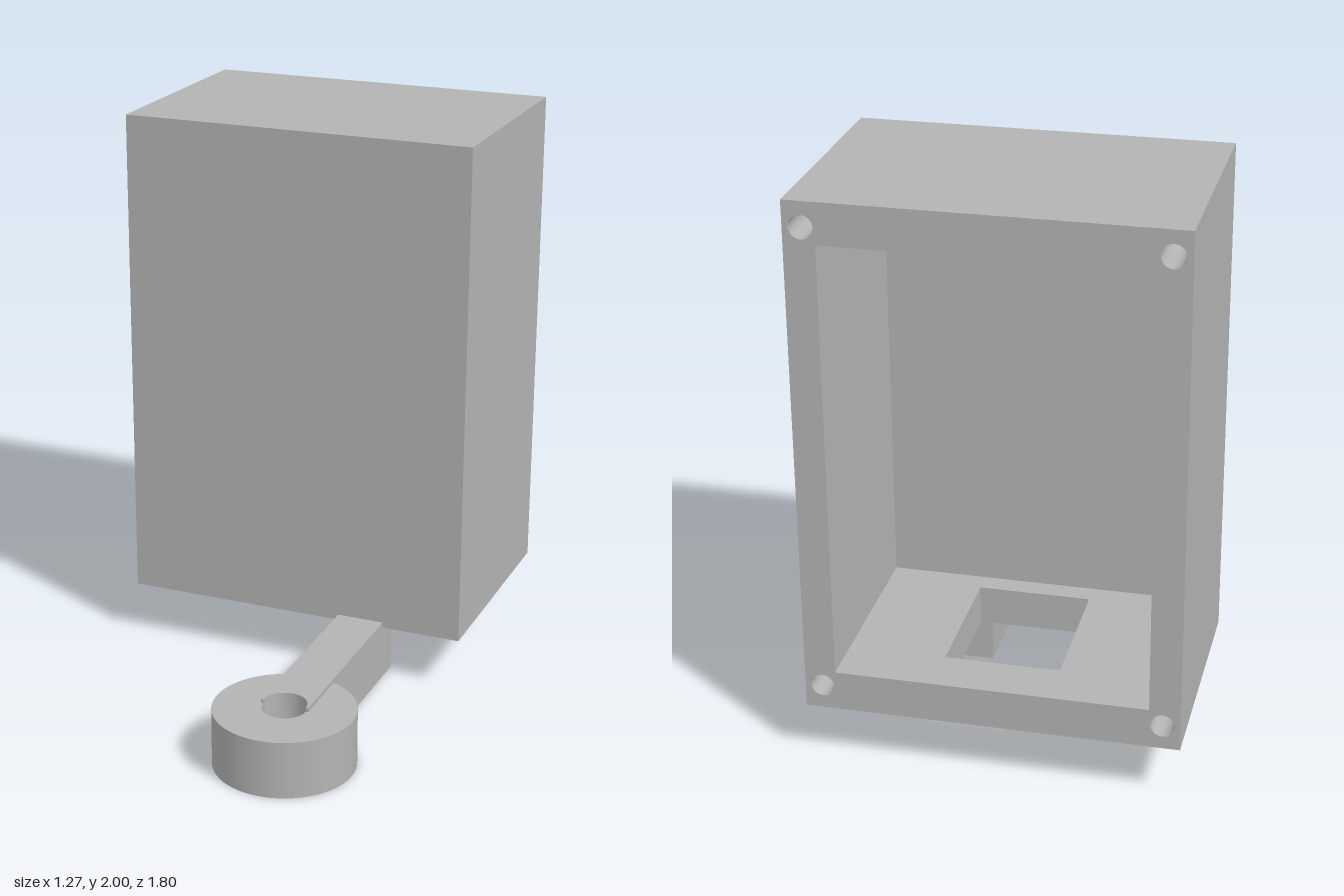
import * as THREE from 'three';
import { mergeGeometries } from 'three/addons/utils/BufferGeometryUtils.js';

// Case extents, cavity extents and floor window
const W = 0.637, Y0 = 0.2, Y1 = 2, ZB = -0.9, ZF = -0.055;
const CW = 0.532, CY0 = 0.34, CY1 = 1.86, CZ = -0.16;
const HW = 0.198, HZ0 = -0.725, HZ1 = -0.237;
const YM = (Y0 + Y1) / 2, ZM = (ZB + ZF) / 2, CZM = (ZB + CZ) / 2, HZM = (HZ0 + HZ1) / 2;
const H = Math.PI / 2;

function rectPath(Type, w, h, cx = 0, cy = 0) {
  const p = new Type();
  p.moveTo(cx - w / 2, cy - h / 2);
  p.lineTo(cx + w / 2, cy - h / 2);
  p.lineTo(cx + w / 2, cy + h / 2);
  p.lineTo(cx - w / 2, cy + h / 2);
  p.closePath();
  return p;
}

function circlePath(Type, r, cx, cy) {
  const p = new Type();
  p.absarc(cx, cy, r, 0, Math.PI * 2, false);
  return p;
}

// One flat wall, facing +z before it is turned
function panel(w, h, pos, rx = 0, ry = 0, holes = []) {
  const shape = rectPath(THREE.Shape, w, h);
  shape.holes.push(...holes);
  return new THREE.ShapeGeometry(shape, 24).rotateX(rx).rotateY(ry).translate(...pos);
}

export function createModel() {
  const grey = new THREE.MeshStandardMaterial({ color: 0xb3b3b3 });
  grey.name = 'grey';
  const greyInside = grey.clone();
  greyInside.name = 'grey';
  greyInside.side = THREE.DoubleSide;

  const group = new THREE.Group();
  const add = (name, geometry, material = grey) => {
    const mesh = new THREE.Mesh(geometry, material);
    mesh.name = name;
    group.add(mesh);
    return mesh;
  };

  // Outer case walls
  const depth = ZF - ZB, height = Y1 - Y0;
  add('caseOutside', mergeGeometries([
    panel(2 * W, height, [0, YM, ZF]),
    panel(2 * W, depth, [0, Y1, ZM], -H),
    panel(depth, height, [W, YM, ZM], 0, H),
    panel(depth, height, [-W, YM, ZM], 0, -H),
    panel(2 * W, depth, [0, Y0, ZM], H, 0,
      [rectPath(THREE.Path, 2 * HW, HZ1 - HZ0, 0, HZM - ZM)]),
  ]));

  // Rear rim with the opening and four screw holes
  const screwR = 0.04, screwDepth = 0.3, sx = W - 0.06, sy = height / 2 - 0.085;
  const corners = [[1, 1], [-1, 1], [-1, -1], [1, -1]];
  add('rearRim', panel(2 * W, height, [0, YM, ZB], 0, Math.PI, [
    rectPath(THREE.Path, 2 * CW, CY1 - CY0),
    ...corners.map(([i, j]) => circlePath(THREE.Path, screwR, i * sx, j * sy)),
  ]));

  // Cavity walls, facing inwards
  const cDepth = CZ - ZB, cHeight = CY1 - CY0;
  add('caseInside', mergeGeometries([
    panel(2 * CW, cHeight, [0, YM, CZ], 0, Math.PI),
    panel(2 * CW, cDepth, [0, CY1, CZM], H),
    panel(cDepth, cHeight, [CW, YM, CZM], 0, -H),
    panel(cDepth, cHeight, [-CW, YM, CZM], 0, H),
    panel(2 * CW, cDepth, [0, CY0, CZM], -H, 0,
      [rectPath(THREE.Path, 2 * HW, HZ1 - HZ0, 0, CZM - HZM)]),
  ]));

  // Sides of the window through the floor
  const t = CY0 - Y0, hy = (CY0 + Y0) / 2;
  add('floorWindow', mergeGeometries([
    panel(2 * HW, t, [0, hy, HZ0]),
    panel(2 * HW, t, [0, hy, HZ1], 0, Math.PI),
    panel(HZ1 - HZ0, t, [HW, hy, HZM], 0, -H),
    panel(HZ1 - HZ0, t, [-HW, hy, HZM], 0, H),
  ]));

  // Blind screw holes
  for (const [i, j] of corners) {
    const tube = new THREE.CylinderGeometry(screwR, screwR, screwDepth, 24, 1, true)
      .rotateX(H).translate(0, 0, screwDepth / 2);
    const end = new THREE.CircleGeometry(screwR, 24).rotateY(Math.PI).translate(0, 0, screwDepth);
    add('screwHole', mergeGeometries([tube, end]), greyInside)
      .position.set(i * sx, YM + j * sy, ZB);
  }

  // Eyelet ring, drawn in x/-z and raised upwards
  const ringX = 0.262, ringZ = 0.655, bore = 0.077;
  const raise = (shape, h) => new THREE.ExtrudeGeometry(shape,
    { depth: h, bevelEnabled: false, curveSegments: 32 }).rotateX(-H);
  const ring = circlePath(THREE.Shape, 0.246, 0, 0);
  ring.holes.push(circlePath(THREE.Path, bore, 0, 0));
  // Smooth the round walls only: radial normals, flat caps kept
  const ringGeo = raise(ring, 0.205);
  const p = ringGeo.attributes.position, n = ringGeo.attributes.normal;
  for (let k = 0; k < p.count; k++) {
    if (Math.abs(n.getY(k)) > 0.5) continue;
    const r = Math.hypot(p.getX(k), p.getZ(k)), s = r < 0.15 ? -1 : 1;
    n.setXYZ(k, s * p.getX(k) / r, 0, s * p.getZ(k) / r);
  }
  add('eyeletRing', ringGeo).position.set(ringX, 0, ringZ);

  // Arm from the case to the ring, notched around the bore
  const armW = 0.086, armL = 0.81;
  const arm = new THREE.Shape();
  arm.moveTo(-armW, 0);
  arm.lineTo(-bore, 0);
  arm.absarc(0, 0, bore, Math.PI, 0, true);
  arm.lineTo(armW, 0);
  arm.lineTo(armW, armL);
  arm.lineTo(-armW, armL);
  arm.closePath();
  add('arm', raise(arm, 0.22)).position.set(ringX, 0, ringZ);

  return group;
}
